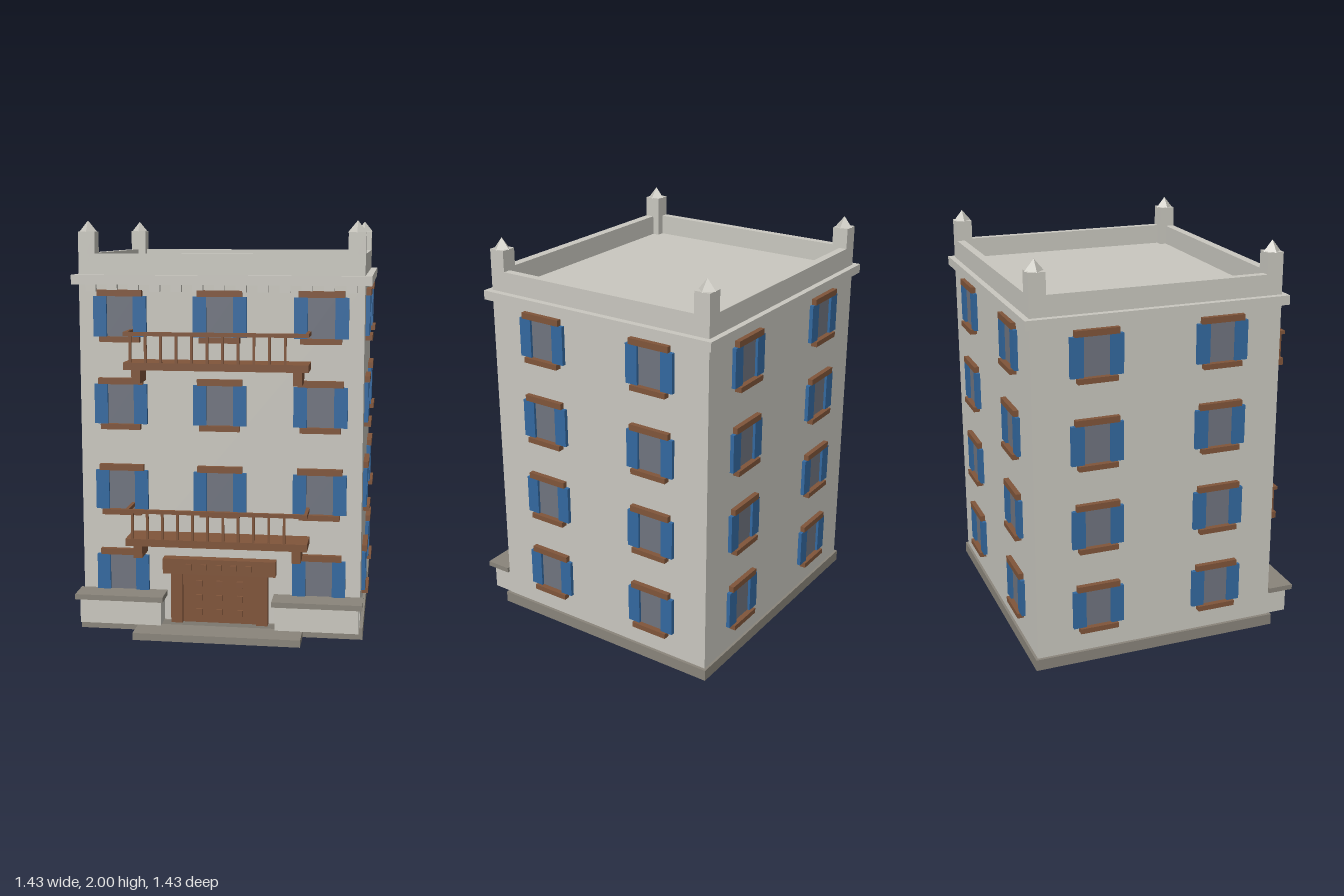
import * as THREE from 'three';

const material = (name, color) => {
  const m = new THREE.MeshStandardMaterial({ color });
  m.name = name;
  return m;
};

export function createModel() {
  const wall = material('pale wall', 0xcac8c0);
  const stone = material('grey stone', 0x8a857b);
  const wood = material('brown wood', 0x80553a);
  const blue = material('blue shutter', 0x3369a0);
  const glass = material('grey glass', 0x70747f);

  const model = new THREE.Group();
  model.name = 'townhouse';

  // Box given by its limits on each axis
  function box(parent, name, mat, x0, x1, y0, y1, z0, z1) {
    const mesh = new THREE.Mesh(new THREE.BoxGeometry(x1 - x0, y1 - y0, z1 - z0), mat);
    mesh.position.set((x0 + x1) / 2, (y0 + y1) / 2, (z0 + z1) / 2);
    mesh.name = name;
    parent.add(mesh);
    return mesh;
  }
  function group(parent, name) {
    const g = new THREE.Group();
    g.name = name;
    parent.add(g);
    return g;
  }

  const FRONT = 0.55, BACK = -0.685, SIDE = 0.68;

  // Plinth, front step, main block and cornice
  box(model, 'plinth', stone, -0.695, 0.695, 0, 0.057, -0.697, 0.565);
  box(model, 'frontStep', stone, -0.405, 0.405, 0, 0.035, 0.565, 0.715);
  box(model, 'mainBlock', wall, -SIDE, SIDE, 0.057, 1.7, BACK, FRONT);
  box(model, 'cornice', wall, -0.712, 0.712, 1.7, 1.745, -0.714, 0.577);

  // Dentils under the front cornice
  const dentils = group(model, 'dentils');
  for (let i = -6; i <= 6; i++) {
    box(dentils, 'dentil', wall, i * 0.103 - 0.025, i * 0.103 + 0.025, 1.667, 1.7, FRONT, 0.573);
  }

  // Parapet around the roof, with a pointed post on each corner
  const parapet = group(model, 'parapet');
  box(parapet, 'parapetFront', wall, -SIDE, SIDE, 1.745, 1.845, 0.505, FRONT);
  box(parapet, 'parapetBack', wall, -SIDE, SIDE, 1.745, 1.845, BACK, -0.645);
  for (const s of [-1, 1]) {
    const a = s * 0.66;
    box(parapet, 'parapetSide', wall, a - 0.02, a + 0.02, 1.745, 1.845, -0.645, 0.505);
    for (const z of [-0.645, 0.51]) {
      const x = s * 0.64;
      box(parapet, 'cornerPost', wall, x - 0.04, x + 0.04, 1.745, 1.947, z - 0.04, z + 0.04);
      const cap = new THREE.Mesh(new THREE.ConeGeometry(0.045, 0.055, 4, 1).toNonIndexed(), wall);
      cap.geometry.computeVertexNormals();
      cap.position.set(x, 1.9725, z);
      cap.name = 'postCap';
      parapet.add(cap);
    }
  }

  // Shuttered window, built facing +z and centred on its own origin
  function addWindow(x, y, z, turn) {
    const w = group(model, 'window');
    box(w, 'pane', glass, -0.068, 0.068, -0.096, 0.096, 0, 0.006);
    for (const s of [-1, 1]) {
      box(w, 'shutter', blue, s * 0.096 - 0.032, s * 0.096 + 0.032, -0.096, 0.096, 0, 0.019);
    }
    box(w, 'lintel', wood, -0.108, 0.108, 0.096, 0.126, 0, 0.025);
    box(w, 'sill', wood, -0.097, 0.097, -0.122, -0.096, 0, 0.033);
    w.position.set(x, y, z);
    w.rotation.y = turn;
  }
  for (let floor = 0; floor < 4; floor++) {
    const y = 0.286 + floor * 0.421;
    for (const x of [-0.48, 0, 0.48]) {
      if (floor > 0 || x !== 0) addWindow(x, y, FRONT, 0);
    }
    for (const x of [-0.36, 0.36]) addWindow(x, y, BACK, Math.PI);
    for (const z of [0.243, -0.377]) {
      addWindow(SIDE, y, z, Math.PI / 2);
      addWindow(-SIDE, y, z, -Math.PI / 2);
    }
  }

  // Balconies with an open railing
  for (const y of [0.466, 1.31]) {
    const b = group(model, 'balcony');
    box(b, 'balconyFloor', wood, -0.433, 0.433, y, y + 0.035, FRONT, 0.712);
    box(b, 'frontRail', wood, -0.433, 0.433, y + 0.16, y + 0.178, 0.696, 0.714);
    for (const s of [-1, 1]) {
      box(b, 'bracket', wood, s * 0.38 - 0.021, s * 0.38 + 0.021, y - 0.066, y, FRONT, 0.682);
      box(b, 'sideRail', wood, s * 0.425 - 0.008, s * 0.425 + 0.008, y + 0.16, y + 0.178, FRONT, 0.696);
    }
    for (let i = 0; i < 11; i++) {
      const x = -0.4 + i * 0.0725;
      box(b, 'baluster', wood, x - 0.006, x + 0.006, y + 0.035, y + 0.16, 0.699, 0.711);
    }
  }

  // Studded front door with jambs and a heavy header
  const door = group(model, 'door');
  box(door, 'doorPanel', wood, -0.18, 0.18, 0.057, 0.305, FRONT, 0.575);
  box(door, 'doorHeader', wood, -0.275, 0.275, 0.305, 0.38, FRONT, 0.606);
  for (const s of [-1, 1]) {
    box(door, 'doorJamb', wood, s * 0.2085 - 0.0285, s * 0.2085 + 0.0285, 0.057, 0.305, FRONT, 0.596);
  }
  const stud = (x, y, z) =>
    box(door, 'stud', wood, x - 0.015, x + 0.015, y - 0.015, y + 0.015, z, z + 0.014);
  for (let i = -2; i <= 2; i++) stud(i * 0.073, 0.343, 0.606);
  for (const x of [-0.1, 0, 0.1]) {
    for (const y of [0.112, 0.183, 0.255]) stud(x, y, 0.575);
  }

  // Low walls with stone copings on both sides of the door
  for (const s of [-1, 1]) {
    const c = group(model, 'lowWall');
    box(c, 'lowWallBody', wall, s * 0.477 - 0.2, s * 0.477 + 0.2, 0.057, 0.18, FRONT, 0.652);
    box(c, 'lowWallCoping', stone, s * 0.479 - 0.216, s * 0.479 + 0.216, 0.18, 0.206, FRONT, 0.68);
  }

  return model;
}
